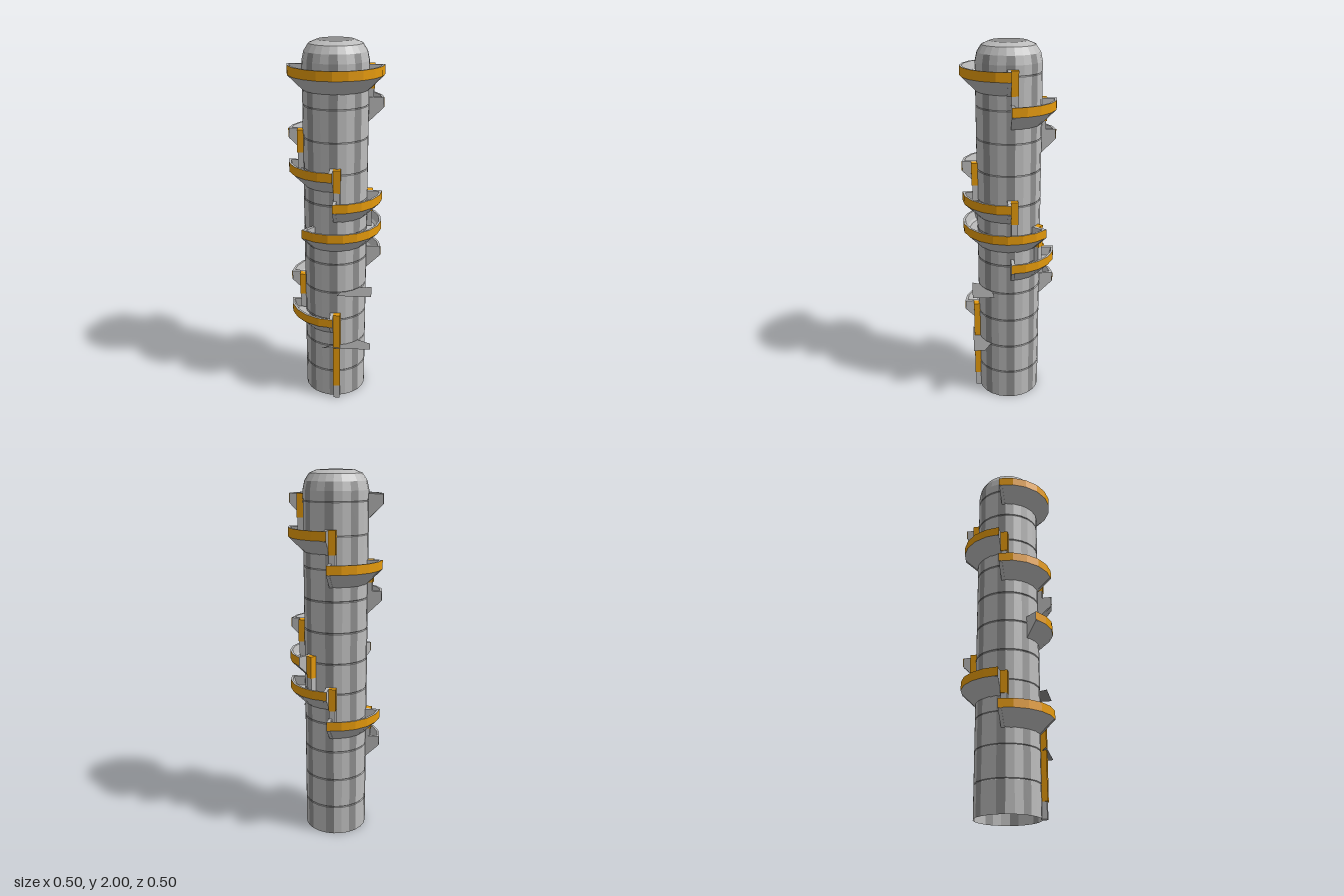
import * as THREE from 'three';

const flat = (color, name) => {
  const m = new THREE.MeshStandardMaterial({ color, flatShading: true, side: THREE.DoubleSide });
  m.name = name;
  return m;
};

export function createModel() {
  const light = flat(0xbdbdbd, 'lightGrey');
  const dark = flat(0x8e8e8e, 'darkGrey');
  const orange = flat(0xe59a0c, 'orange');
  const model = new THREE.Group();
  model.name = 'balconyTower';

  const add = (parent, geo, mat, name) => {
    const mesh = new THREE.Mesh(geo, mat);
    mesh.name = name;
    parent.add(mesh);
    return mesh;
  };
  const rad = THREE.MathUtils.degToRad;
  const lathe = (pts, segs, from, to) => new THREE.LatheGeometry(
    pts.map(p => new THREE.Vector2(...p)), segs, rad(from), rad(to - from));

  // Hollow tower wall: drums with fine seams, in alternating light and dark panels
  const R = 0.172, step = 0.168;
  const wall = [[R, 0]];
  for (let i = 1; i <= 11; i++) {
    const y = i * step;
    wall.push([R, y - 0.004], [R - 0.003, y], [R, y + 0.004]);
  }
  wall.push([R, 1.9], [0.162, 1.945]);
  for (let i = 0; i < 8; i++) {
    const a = i * 45;
    add(model, lathe(wall, 1, a - 7.5, a + 7.5), dark, 'darkWallPanel');
    add(model, lathe(wall, 2, a + 7.5, a + 37.5), light, 'lightWallPanel');
  }

  // Rounded top with a flat cap
  add(model, lathe([[0.162, 1.945], [0.138, 1.982], [0.095, 2]], 24, 7.5, 367.5), light, 'domeRing');
  add(model, lathe([[0.095, 2], [0, 2]], 24, 7.5, 367.5), dark, 'domeCap');

  // Balconies: rim height, start and end angle, height of the level below
  const balconies = [
    [0.545, 270, 360, 0.04],
    [0.712, 180, 270, 0.545],
    [0.88, 90, 180, 0.712],
    [1.045, -42, 140, 0.88],
    [1.212, 0, 90, 1.045],
    [1.378, 270, 360, 1.212],
    [1.545, 180, 270, 1.378],
    [1.712, 90, 180, 1.545],
    [1.88, -90, 90, 1.712],
  ];

  // End plate outline, drawn as (distance from the axis, height under the rim)
  const outline = new THREE.Shape([[0.165, 0], [0.247, 0], [0.247, -0.052], [0.165, -0.132]]
    .map(p => new THREE.Vector2(...p)));
  const plate = new THREE.ExtrudeGeometry(outline, { depth: 0.018, bevelEnabled: false });
  plate.rotateY(-Math.PI / 2); // the outline now runs along +z

  const box = (x0, x1, y0, y1, z0, z1) => new THREE.BoxGeometry(x1 - x0, y1 - y0, z1 - z0)
    .translate((x0 + x1) / 2, (y0 + y1) / 2, (z0 + z1) / 2);

  for (const [top, from, to, below] of balconies) {
    const balcony = new THREE.Group();
    balcony.name = 'balcony';
    model.add(balcony);
    const segs = Math.round((to - from) / 18);
    const body = [[0.165, -0.132], [0.25, -0.048]];
    const inner = [[0.25, 0], [0.238, 0], [0.226, -0.04], [0.215, -0.05], [0.165, -0.05]];
    add(balcony, lathe(body, segs, from, to), light, 'balconyUnderside');
    add(balcony, lathe(inner, segs, from, to), light, 'balconyFloor');
    add(balcony, lathe([[0.25, -0.048], [0.25, 0]], segs, from, to), orange, 'balconyRim');
    balcony.position.y = top;

    // Plates closing both ends
    const first = add(balcony, plate, light, 'endPlate');
    first.rotation.y = rad(from);
    first.position.set(Math.cos(rad(from)) * 0.018, 0, -Math.sin(rad(from)) * 0.018);
    add(balcony, plate, light, 'endPlate').rotation.y = rad(to);

    // Ladder beside the high end, reaching down to the level below
    const ladder = new THREE.Group();
    ladder.name = 'ladder';
    ladder.rotation.y = rad(to);
    model.add(ladder);
    add(ladder, box(0, 0.038, below + 0.045, top, 0.165, 0.2), orange, 'ladderCage');
    add(ladder, box(0.002, 0.036, below - 0.04, below + 0.045, 0.165, 0.196), light, 'ladderFoot');
  }

  // Thin corner plates low on the tower
  const fin = (y, left, back) => {
    const s = new THREE.Shape([[left, 0.207], [0.207, 0.207], [0.207, back], [0.12, 0.1], [0.04, 0.16]]
      .map(p => new THREE.Vector2(...p)));
    add(model, new THREE.ShapeGeometry(s).rotateX(Math.PI / 2), dark, 'cornerPlate').position.y = y;
  };
  fin(0.34, -0.065, 0.145);
  fin(0.672, 0.02, 0.09);

  return model;
}
